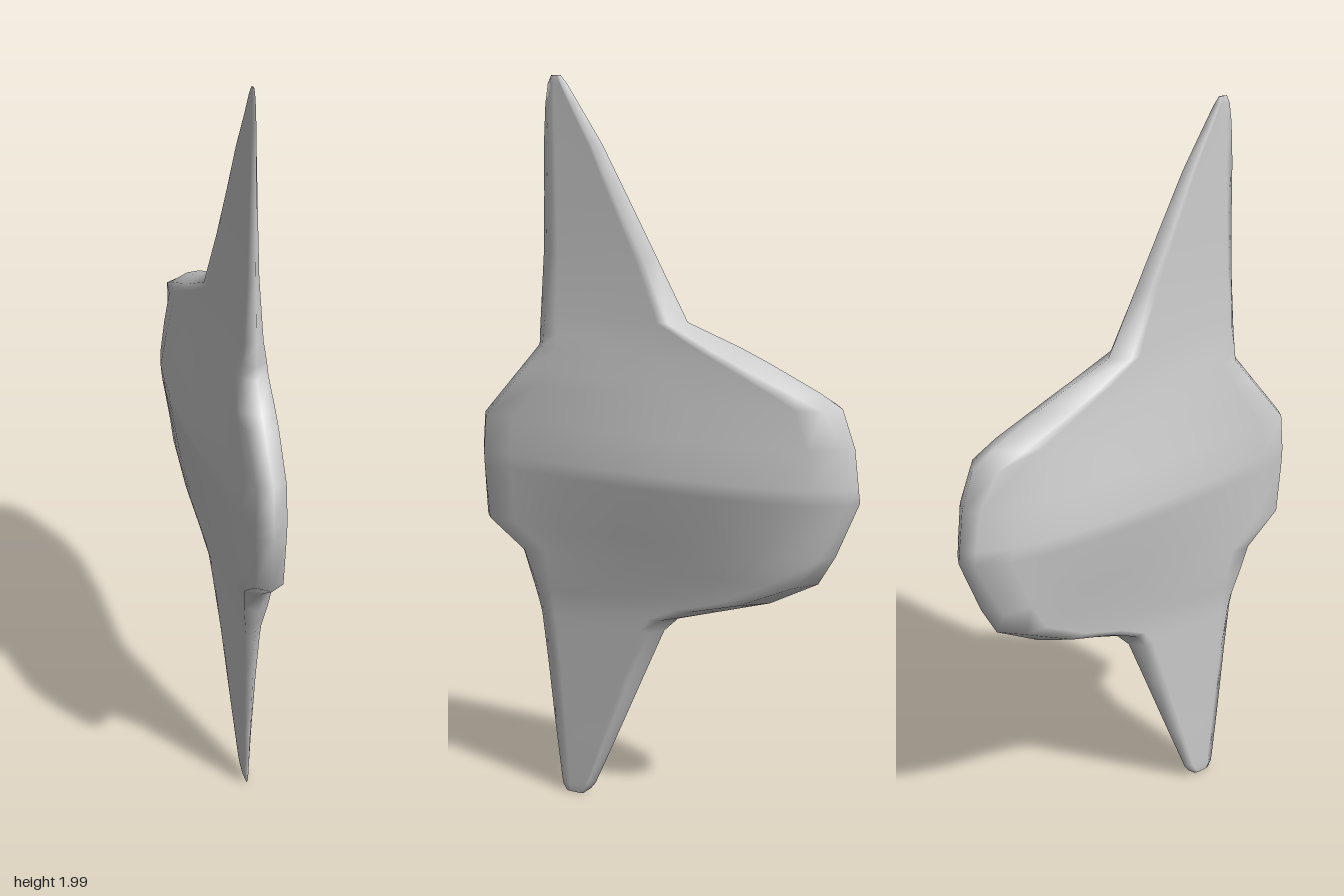
import * as THREE from 'three';

// Body half thickness along z at mid height
const BELLY = [[-0.54, 0.025], [-0.52, 0.035], [-0.43, 0.08], [-0.33, 0.1], [-0.2, 0.11], [0, 0.104], [0.2, 0.085], [0.5, 0.042], [0.54, 0.035]];

// Horizontal sections: height, back z, front z, edge half thickness, bevel length
const LOWER_FIN = [
  [0.01, 0.25, 0.3, 0.003, 0.01],
  [0.03, 0.225, 0.312, 0.006, 0.015],
  [0.05, 0.21, 0.315, 0.008, 0.02],
  [0.2, 0.145, 0.332, 0.016, 0.025],
  [0.4, 0.06, 0.352, 0.026, 0.03],
  [0.54, 0, 0.368, 0.036, 0.03],
  [0.58, -0.04, 0.378, 0.038, 0.04],
];
const BODY = [
  [0.58, -0.04, 0.378, 0.038, 0.04],
  [0.62, -0.17, 0.39, 0.038, 0.08],
  [0.66, -0.3, 0.403, 0.038, 0.07],
  [0.73, -0.43, 0.425, 0.036, 0.05],
  [0.81, -0.475, 0.53, 0.035, 0.03],
  [0.96, -0.535, 0.537, 0.032, 0.022],
  [1.0, -0.53, 0.538, 0.032, 0.022],
  [1.1, -0.518, 0.53, 0.032, 0.022],
  [1.2, -0.483, 0.445, 0.035, 0.035],
  [1.235, -0.425, 0.415, 0.036, 0.05],
  [1.3, -0.29, 0.36, 0.038, 0.07],
  [1.335, -0.21, 0.358, 0.04, 0.07],
  [1.39, -0.065, 0.354, 0.04, 0.04],
];
const UPPER_FIN = [
  [1.39, -0.065, 0.354, 0.04, 0.04],
  [1.55, 0.02, 0.342, 0.026, 0.03],
  [1.7, 0.1, 0.338, 0.019, 0.03],
  [1.83, 0.17, 0.336, 0.013, 0.025],
  [1.93, 0.235, 0.33, 0.008, 0.02],
  [1.98, 0.268, 0.322, 0.006, 0.015],
  [2.0, 0.285, 0.312, 0.003, 0.008],
];

function sample(table, t) {
  for (let i = 1; i < table.length; i++) {
    const [a, va] = table[i - 1], [b, vb] = table[i];
    if (t <= b) return THREE.MathUtils.lerp(va, vb, Math.max(0, (t - a) / (b - a)));
  }
  return table[table.length - 1][1];
}

// One closed section: sharp back edge, +x face, sharp front edge, -x face
function ring([y, back, front, edge, bevel], columns) {
  const side = [];
  const swell = Math.max(0, 1 - Math.abs(y - 0.99) / 0.41);
  for (let j = 0; j <= columns; j++) {
    const u = j / columns;
    const z = THREE.MathUtils.lerp(back + bevel, front - Math.min(bevel, 0.025), u);
    const thin = edge * (1 - 0.45 * u * (1 - swell));
    side.push([thin + Math.max(0, sample(BELLY, z) - thin) * swell, y, z]);
  }
  return [[0, y, back], ...side, [0, y, front], ...side.slice().reverse().map(([x, h, z]) => [-x, h, z])];
}

// Skin all sections into one smooth shell, closed at both tips
function loft(sections, columns = 12) {
  const rings = sections.map((s) => ring(s, columns));
  const n = rings[0].length;
  const points = rings.flat();
  const index = [];
  for (let i = 0; i < rings.length - 1; i++) {
    for (let j = 0; j < n; j++) {
      const a = i * n + j, b = i * n + (j + 1) % n;
      index.push(a, a + n, b, b, a + n, b + n);
    }
  }
  const last = (rings.length - 1) * n;
  for (let j = 1; j < n - 1; j++) {
    index.push(0, j, j + 1);
    index.push(last, last + j + 1, last + j);
  }
  const geometry = new THREE.BufferGeometry();
  geometry.setAttribute('position', new THREE.Float32BufferAttribute(points.flat(), 3));
  geometry.setIndex(index);
  geometry.computeVertexNormals();
  return geometry;
}

export function createModel() {
  const group = new THREE.Group();
  group.name = 'finnedBlade';
  const grey = new THREE.MeshStandardMaterial({ color: 0xcccccc });
  grey.name = 'light grey';

  // Body and both fins flow into each other as a single skin
  const shell = new THREE.Mesh(loft([...LOWER_FIN, ...BODY.slice(1), ...UPPER_FIN.slice(1)]), grey);
  shell.name = 'bodyWithFins';
  group.add(shell);
  return group;
}
